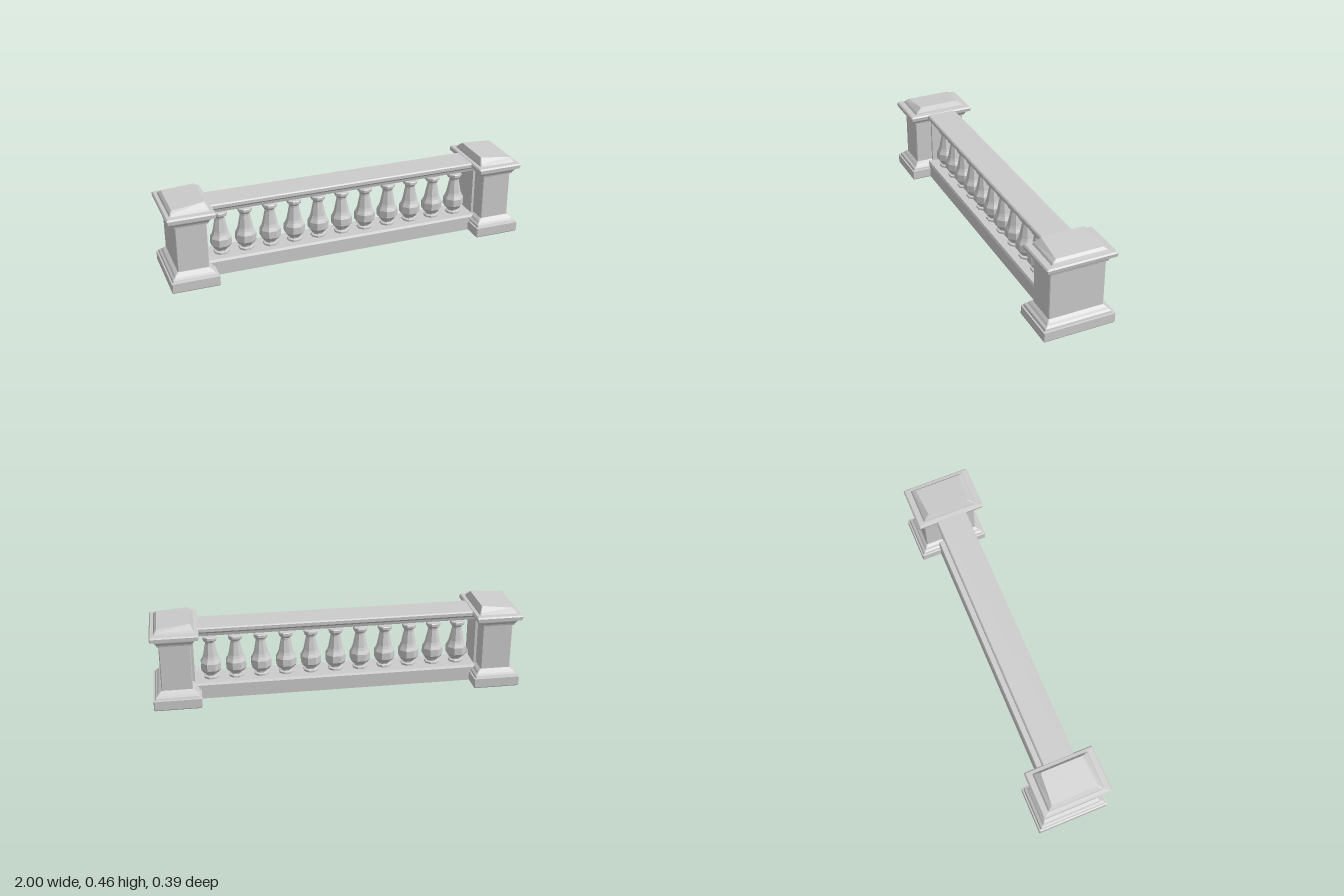
import * as THREE from 'three';

const stone = new THREE.MeshStandardMaterial({ color: 0xcccccc, flatShading: true });

function add(parent, geometry, name) {
  const mesh = new THREE.Mesh(geometry, stone);
  mesh.name = name;
  parent.add(mesh);
  return mesh;
}

// Stack of rectangles with clipped corners, closed at both ends.
// Ring: [x outer, x inner, half depth, y, y at outer side, half depth at outer side]
function loftRects(rings, clip = 0.004) {
  const pos = [], index = [], n = 8;
  for (const [xo, xi, z, y, yo = y, zo = z] of rings) {
    pos.push(
      xo + clip, yo, zo, xi - clip, y, z, xi, y, z - clip, xi, y, -z + clip,
      xi - clip, y, -z, xo + clip, yo, -zo, xo, yo, -zo + clip, xo, yo, zo - clip);
  }
  for (let r = 0; r < rings.length - 1; r++) {
    for (let i = 0; i < n; i++) {
      const a = r * n + i, b = r * n + (i + 1) % n;
      index.push(a, b, b + n, a, b + n, a + n);
    }
  }
  const top = (rings.length - 1) * n;
  for (let i = 1; i < n - 1; i++) {
    index.push(0, i + 1, i, top, top + i, top + i + 1);
  }
  const g = new THREE.BufferGeometry();
  g.setAttribute('position', new THREE.Float32BufferAttribute(pos, 3));
  g.setIndex(index);
  const flat = g.toNonIndexed();
  flat.computeVertexNormals();
  return flat;
}

// Ring centred on the pier: half width, half depth, height
const PIER_X = -0.872;
const ring = (hx, hz, y) => [PIER_X - hx, PIER_X + hx, hz, y];

function createPier(name) {
  const pier = new THREE.Group();
  pier.name = name;
  add(pier, loftRects([
    ring(0.125, 0.194, 0), ring(0.128, 0.197, 0.005), ring(0.128, 0.197, 0.055),
    ring(0.12, 0.189, 0.057), ring(0.117, 0.184, 0.068), ring(0.107, 0.172, 0.075),
    ring(0.1, 0.164, 0.085), ring(0.084, 0.151, 0.096),
  ]), 'pierBase');
  add(pier, loftRects([ring(0.083, 0.151, 0.09), ring(0.083, 0.151, 0.355)]), 'pierShaft');
  add(pier, loftRects([
    ring(0.083, 0.151, 0.35), ring(0.092, 0.16, 0.353), ring(0.094, 0.163, 0.363),
    ring(0.104, 0.172, 0.377), ring(0.106, 0.175, 0.388), ring(0.125, 0.189, 0.389),
    ring(0.128, 0.19, 0.408), ring(0.122, 0.183, 0.415), ring(0.105, 0.154, 0.417),
    [-0.972, -0.771, 0.147, 0.428, 0.427],
    [-0.96, -0.785, 0.116, 0.456, 0.44, 0.128],
  ]), 'pierCap');
  // Narrow pilaster on the inner face
  const pilaster = add(pier, new THREE.BoxGeometry(0.03, 0.29, 0.11), 'pilaster');
  pilaster.position.set(-0.79, 0.225, 0);
  return pier;
}

// Horizontal rail running between the piers; profile points are [z, y] on the front half
function createRail(parent, half, name) {
  const all = [...half, ...half.slice().reverse().map(([z, y]) => [-z, y])];
  const shape = new THREE.Shape(all.map(([z, y]) => new THREE.Vector2(-z, y)));
  const g = new THREE.ExtrudeGeometry(shape, { depth: 1.64, bevelEnabled: false });
  g.translate(0, 0, -0.82);
  g.rotateY(Math.PI / 2);
  return add(parent, g, name);
}

export function createModel() {
  const model = new THREE.Group();
  model.name = 'balustrade';

  const left = createPier('rightPier');
  const right = createPier('leftPier');
  right.rotation.y = Math.PI;
  model.add(left, right);

  createRail(model, [[0.085, 0], [0.085, 0.078], [0.078, 0.09]], 'bottomRail');
  createRail(model, [
    [0.066, 0.36], [0.07, 0.376], [0.08, 0.384], [0.087, 0.39], [0.087, 0.407], [0.08, 0.413],
  ], 'topRail');

  // Eight-sided balusters
  const profile = [
    [0, 0.088], [0.042, 0.088], [0.042, 0.1], [0.03, 0.105], [0.032, 0.114], [0.044, 0.122],
    [0.058, 0.142], [0.058, 0.182], [0.047, 0.202], [0.041, 0.218], [0.027, 0.29],
    [0.027, 0.3], [0.036, 0.308], [0.04, 0.315], [0.04, 0.328], [0.036, 0.332], [0, 0.332],
  ].map(([r, y]) => new THREE.Vector2(r, y));
  const balusterGeometry = new THREE.LatheGeometry(profile, 8, Math.PI / 8);
  const balusters = new THREE.Group();
  balusters.name = 'balusters';
  const count = 11, spacing = 0.137;
  for (let i = 0; i < count; i++) {
    add(balusters, balusterGeometry, 'baluster').position.x = (i - (count - 1) / 2) * spacing;
  }
  model.add(balusters);
  return model;
}
